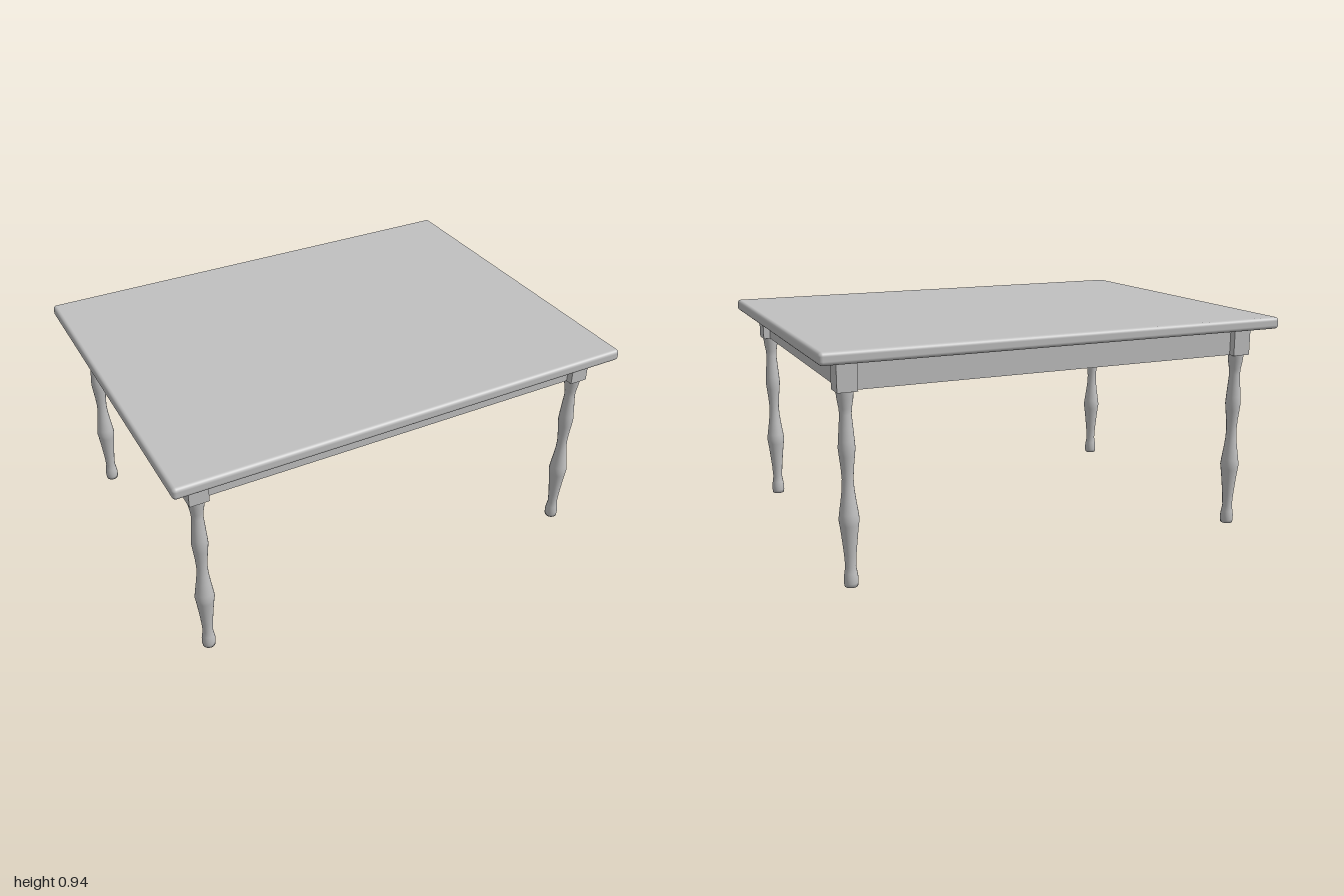
import * as THREE from 'three';
import { RoundedBoxGeometry } from 'three/addons/geometries/RoundedBoxGeometry.js';

const LEG_X = 0.876, LEG_Z = 0.625;
const APRON_BOTTOM = 0.77, TOP_BOTTOM = 0.89, TOP = 0.94;

export function createModel() {
  const table = new THREE.Group();
  table.name = 'table';
  const grey = new THREE.MeshStandardMaterial({ color: 0xc0c0c0 });
  grey.name = 'plain grey';

  const add = (name, geometry, x, y, z) => {
    const mesh = new THREE.Mesh(geometry, grey);
    mesh.name = name;
    mesh.position.set(x, y, z);
    table.add(mesh);
  };

  // Tabletop with softened edges
  add('tabletop', new RoundedBoxGeometry(2, TOP - TOP_BOTTOM, 1.5, 4, 0.016),
    0, (TOP + TOP_BOTTOM) / 2, 0);

  // Solid apron, set back from the faces of the corner blocks
  const apronHeight = TOP_BOTTOM - APRON_BOTTOM;
  const apronY = (TOP_BOTTOM + APRON_BOTTOM) / 2;
  add('apron', new THREE.BoxGeometry(LEG_X * 2 + 0.02, apronHeight, LEG_Z * 2 + 0.02), 0, apronY, 0);

  // Turned leg profile: [radius, height]
  const profile = [
    [0, 0], [0.026, 0], [0.028, 0.015], [0.028, 0.035], [0.025, 0.055], [0.021, 0.08],
    [0.024, 0.13], [0.031, 0.2], [0.037, 0.25], [0.04, 0.27], [0.037, 0.295],
    [0.029, 0.35], [0.024, 0.39], [0.022, 0.43], [0.025, 0.475], [0.03, 0.52],
    [0.033, 0.55], [0.031, 0.58], [0.027, 0.63], [0.023, 0.68], [0.025, 0.705],
    [0.031, 0.74], [0.034, APRON_BOTTOM],
  ].map(([r, y]) => new THREE.Vector2(r, y));
  const legGeometry = new THREE.LatheGeometry(profile, 28);
  const blockGeometry = new THREE.BoxGeometry(0.08, apronHeight, 0.08);

  // Four legs, each under a square corner block
  for (const [side, sx] of [['Left', 1], ['Right', -1]]) {
    for (const [end, sz] of [['front', 1], ['back', -1]]) {
      add(`${end}${side}Leg`, legGeometry, sx * LEG_X, 0, sz * LEG_Z);
      add(`${end}${side}CornerBlock`, blockGeometry, sx * LEG_X, apronY, sz * LEG_Z);
    }
  }
  return table;
}
